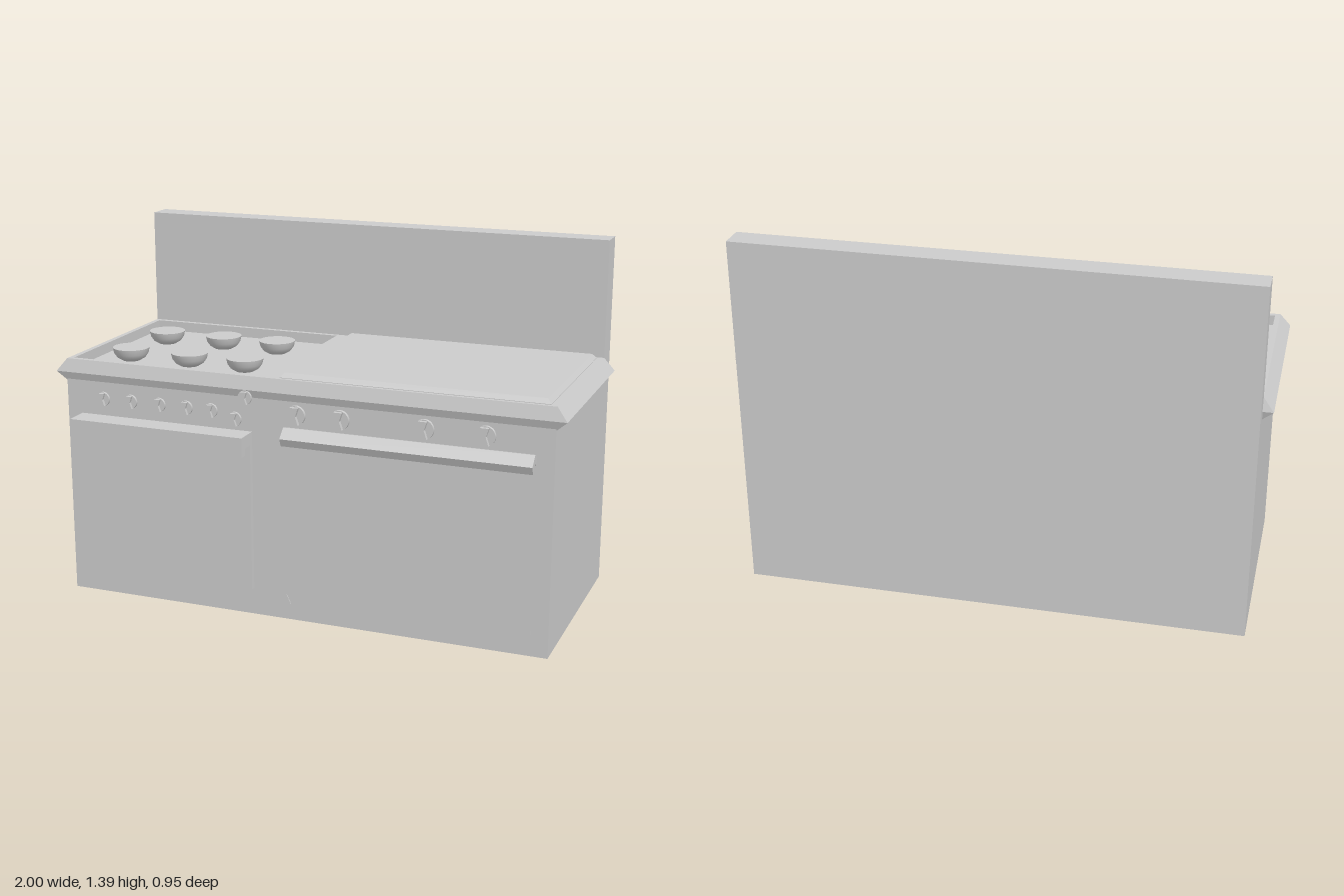
import * as THREE from 'three';

const mat = new THREE.MeshStandardMaterial({ color: 0xcccccc });

function add(parent, name, geo, x = 0, y = 0, z = 0) {
  const m = new THREE.Mesh(geo, mat);
  m.name = name;
  m.position.set(x, y, z);
  parent.add(m);
  return m;
}

// Side profile of [z, y] points swept from x0 to x1
function sweepX(profile, x0, x1) {
  const shape = new THREE.Shape(profile.map(([z, y]) => new THREE.Vector2(-z, y)));
  const geo = new THREE.ExtrudeGeometry(shape, { depth: x1 - x0, bevelEnabled: false });
  return geo.rotateY(Math.PI / 2).translate(x0, 0, 0);
}

// Flat-shaded skin over stacked rectangles [y, halfX, halfZ], from the bottom up
function rectLoft(rings, cap) {
  const pos = [], idx = [];
  for (const [y, hx, hz] of rings) pos.push(-hx, y, hz, hx, y, hz, hx, y, -hz, -hx, y, -hz);
  for (let r = 0; r < rings.length - 1; r++) {
    for (let i = 0; i < 4; i++) {
      const a = r * 4 + i, b = r * 4 + (i + 1) % 4;
      idx.push(a, b, b + 4, a, b + 4, a + 4);
    }
  }
  const t = (rings.length - 1) * 4;
  if (cap) idx.push(t, t + 1, t + 2, t, t + 2, t + 3);
  const geo = new THREE.BufferGeometry();
  geo.setAttribute('position', new THREE.Float32BufferAttribute(pos, 3));
  geo.setIndex(idx);
  const flat = geo.toNonIndexed();
  flat.computeVertexNormals();
  return flat;
}

// Control knob facing +z: stem, dial and waisted grip
function knob(parent, name, x, y, r, depth) {
  const g = new THREE.Group();
  g.name = name;
  g.position.set(x, y, 0.375);
  const disc = (rad, len) => new THREE.CylinderGeometry(rad, rad, len, 24).rotateX(Math.PI / 2);
  add(g, 'knobStem', disc(r * 0.6, depth * 0.5), 0, 0, depth * 0.25);
  add(g, 'knobDial', disc(r, depth * 0.3), 0, 0, depth * 0.5);
  const w = r * 0.45, h = r * 0.88, n = r * 0.16;
  const grip = new THREE.Shape([[-w, -h], [w, -h], [n, 0], [w, h], [-w, h], [-n, 0]]
    .map(([a, b]) => new THREE.Vector2(a, b)));
  add(g, 'knobGrip', new THREE.ExtrudeGeometry(grip, { depth: depth * 0.4, bevelEnabled: false }), 0, 0, depth * 0.6);
  parent.add(g);
}

export function createModel() {
  const range = new THREE.Group();
  range.name = 'kitchenRange';

  // Cabinet and tall backsplash
  add(range, 'cabinet', sweepX([[0.38, 0], [0.38, 0.895], [-0.375, 0.895],
    [-0.375, 1.39], [-0.475, 1.39], [-0.475, 0]].reverse(), -0.96, 0.96));

  // Flared edge round the cooktop
  add(range, 'cooktopRim', rectLoft([[0.85, 0.96, 0.378], [0.885, 1, 0.39], [0.935, 0.96, 0.375]], false));

  // Cooktop plate with the sunken burner well
  const plate = new THREE.Shape([[-0.96, -0.375], [0.96, -0.375], [0.96, 0.375], [-0.96, 0.375]]
    .map(([a, b]) => new THREE.Vector2(a, b)));
  plate.holes.push(new THREE.Path([[-0.94, -0.355], [-0.94, 0.355], [-0.135, 0.355], [-0.135, -0.355]]
    .map(([a, b]) => new THREE.Vector2(a, b))));
  const plateGeo = new THREE.ExtrudeGeometry(plate, { depth: 0.04, bevelEnabled: false });
  add(range, 'cooktopPlate', plateGeo.rotateX(-Math.PI / 2), 0, 0.895, 0);

  // Bowl-shaped burners with flat tops
  const bowl = [[0, 0], [0.035, 0.004], [0.055, 0.016], [0.067, 0.033], [0.072, 0.055]]
    .map(([a, b]) => new THREE.Vector2(a, b));
  for (const z of [-0.135, 0.175]) {
    for (const x of [-0.79, -0.537, -0.303]) {
      add(range, 'burnerBowl', new THREE.LatheGeometry(bowl, 32), x, 0.895, z);
      add(range, 'burnerTop', new THREE.CircleGeometry(0.072, 32).rotateX(-Math.PI / 2), x, 0.95, z);
    }
  }

  // Raised griddle with bevelled edges
  add(range, 'griddle', rectLoft([[0.93, 0.507, 0.36], [0.937, 0.507, 0.36], [0.954, 0.492, 0.345]], true), 0.427, 0, 0);

  // Left oven door with its hooked full-width handle
  add(range, 'leftDoor', new THREE.BoxGeometry(0.715, 0.62, 0.025), -0.5425, 0.415, 0.3875);
  add(range, 'leftHandle', sweepX([[0.395, 0.725], [0.475, 0.725], [0.475, 0.65],
    [0.445, 0.65], [0.445, 0.677], [0.395, 0.677]].reverse(), -0.9, -0.185));

  // Right oven handle: a folded strip
  add(range, 'rightHandle', sweepX([[0.375, 0.755], [0.403, 0.762], [0.44, 0.727],
    [0.427, 0.697], [0.403, 0.73], [0.375, 0.715]].reverse(), -0.05, 0.895));

  // Small triangular door stops
  const stop = new THREE.Shape([[-0.008, -0.018], [0.009, -0.018], [-0.008, 0.018]]
    .map(([a, b]) => new THREE.Vector2(a, b)));
  for (const [x, s] of [[-0.042, 1], [0.888, -1]]) {
    const geo = new THREE.ExtrudeGeometry(stop, { depth: 0.008, bevelEnabled: false });
    if (s < 0) geo.rotateY(Math.PI).translate(0, 0, 0.008);
    add(range, 'doorStop', geo, x, 0.08, 0.375);
  }

  // Control knobs
  for (const [x, y] of [[-0.8, 0.793], [-0.683, 0.793], [-0.563, 0.793], [-0.45, 0.793],
    [-0.347, 0.793], [-0.25, 0.77], [-0.207, 0.856]]) knob(range, 'burnerKnob', x, y, 0.027, 0.033);
  for (const x of [-0.003, 0.168, 0.488, 0.714]) knob(range, 'ovenKnob', x, 0.81, 0.037, 0.042);

  return range;
}
